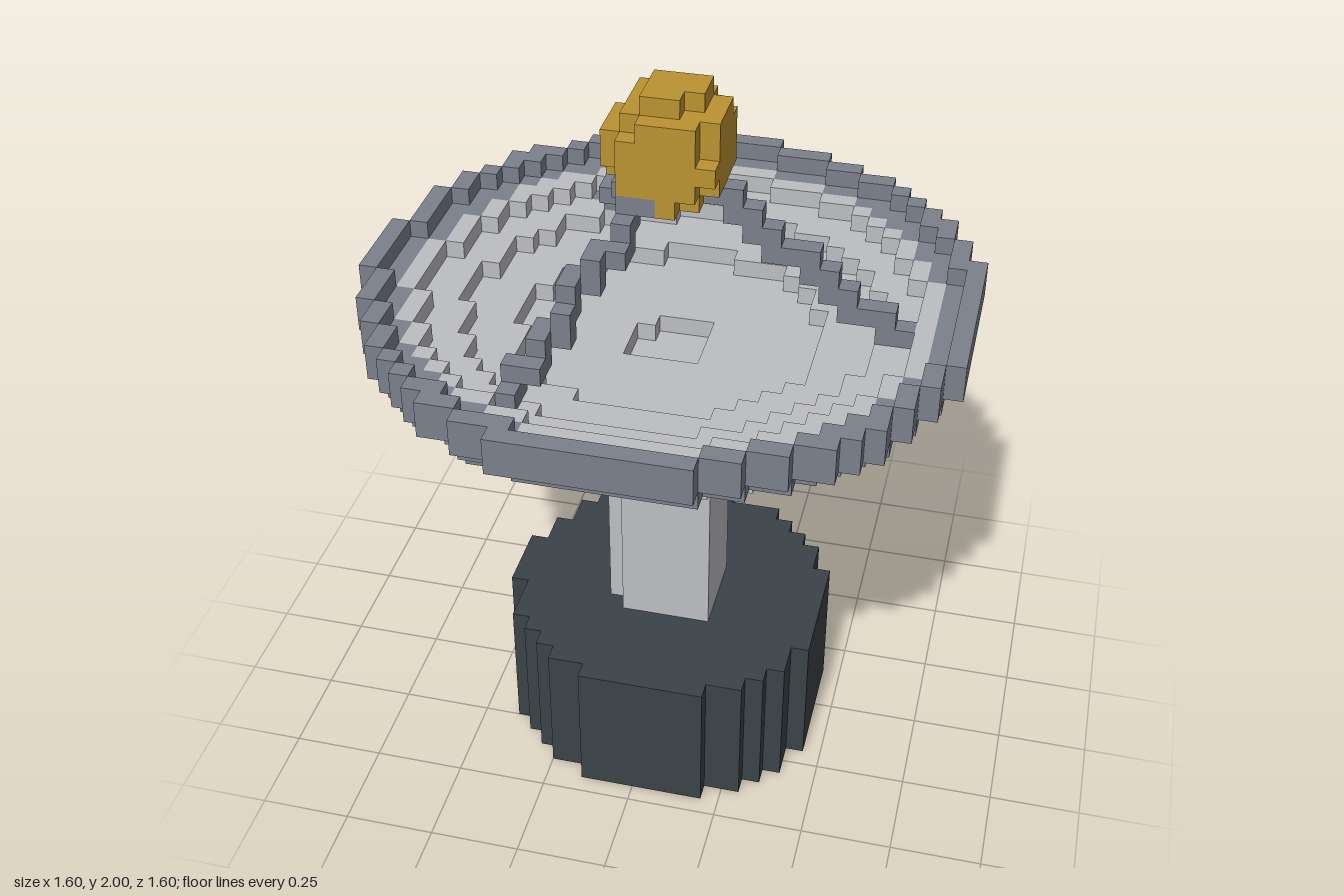
import * as THREE from 'three';

const S = 0.05;          // cube size
const N = 32;            // cubes across
const C = 0.0125;        // slight offset of the round parts on the cube grid

export function createModel() {
  const mat = (name, color) => {
    const m = new THREE.MeshStandardMaterial({ color });
    m.name = name;
    return m;
  };
  const gold = mat('gold', 0xbb9331);
  const lightGrey = mat('light grey', 0xbdbec2);
  const steel = mat('steel grey', 0x7b808b);
  const charcoal = mat('charcoal', 0x3b4348);

  const cells = new Map();
  const key = (i, j, k) => (j * 64 + k) * 64 + i;
  const put = (part, i, j, k) => cells.set(key(i, j, k), { part, p: [i, j, k] });

  // Fill layers j0..j1-1 wherever test(radius, height) holds
  const fillRound = (part, j0, j1, test) => {
    for (let j = j0; j < j1; j++)
      for (let k = 0; k < N; k++)
        for (let i = 0; i < N; i++) {
          const r = Math.hypot((i - 15.5) * S - C, (k - 15.5) * S - C);
          if (test(r, (j + 0.5) * S)) put(part, i, j, k);
        }
  };

  // Base drum and column
  fillRound('base', 0, 8, r => r < 0.449);
  fillRound('column', 8, 23, r => r < 0.16);

  // Stepped bowl, two cubes thick: each ring sits one layer higher
  const rings = [0, 0.11, 0.399, 0.549, 0.649, 0.699];
  for (let n = 0; n < 5; n++)
    fillRound('dish', 22 + n, 24 + n, r => r >= rings[n] && r < rings[n + 1]);

  // Rim: an inner ledge level with the last bowl ring, then a raised edge
  fillRound('rim', 26, 28, r => r >= 0.699 && r < 0.749);
  fillRound('rim', 27, 29, r => r >= 0.749 && r < 0.799);

  // Receiver ball
  fillRound('receiver', 34, 40, (r, y) => Math.hypot(r, y - 1.8375) < 0.16);

  // Three struts sloping from the receiver to the dish
  for (let n = 0; n < 3; n++) {
    const a = n * Math.PI * 2 / 3;
    for (let t = 0; t <= 1; t += 0.005) {
      const r = 0.06 + 0.655 * t;
      const y = 1.762 - 0.485 * t;
      put('struts',
        Math.floor((C + r * Math.cos(a)) / S + 16),
        Math.floor(y / S),
        Math.floor((C + r * Math.sin(a)) / S + 16));
    }
  }

  // Skin a part: one square for every cube side that is not covered
  const skin = part => {
    const pos = [], nor = [], idx = [];
    for (const c of cells.values()) {
      if (c.part !== part) continue;
      for (let axis = 0; axis < 3; axis++)
        for (const s of [-1, 1]) {
          const q = [...c.p];
          q[axis] += s;
          if (q[1] >= 0 && cells.has(key(...q))) continue;
          const u = (axis + 1) % 3, v = (axis + 2) % 3, b = pos.length / 3;
          for (const [du, dv] of [[0, 0], [1, 0], [1, 1], [0, 1]]) {
            const w = [...c.p], n = [0, 0, 0];
            w[axis] += s > 0 ? 1 : 0;
            w[u] += du;
            w[v] += dv;
            n[axis] = s;
            pos.push((w[0] - 16) * S, w[1] * S, (w[2] - 16) * S);
            nor.push(...n);
          }
          idx.push(...(s > 0 ? [b, b + 1, b + 2, b, b + 2, b + 3]
                             : [b, b + 2, b + 1, b, b + 3, b + 2]));
        }
    }
    const g = new THREE.BufferGeometry();
    g.setAttribute('position', new THREE.Float32BufferAttribute(pos, 3));
    g.setAttribute('normal', new THREE.Float32BufferAttribute(nor, 3));
    g.setIndex(idx);
    return g;
  };

  const group = new THREE.Group();
  group.name = 'dishAntenna';
  const parts = { base: charcoal, column: lightGrey, dish: lightGrey, rim: steel, struts: steel, receiver: gold };
  for (const [name, material] of Object.entries(parts)) {
    const mesh = new THREE.Mesh(skin(name), material);
    mesh.name = name;
    group.add(mesh);
  }
  return group;
}
